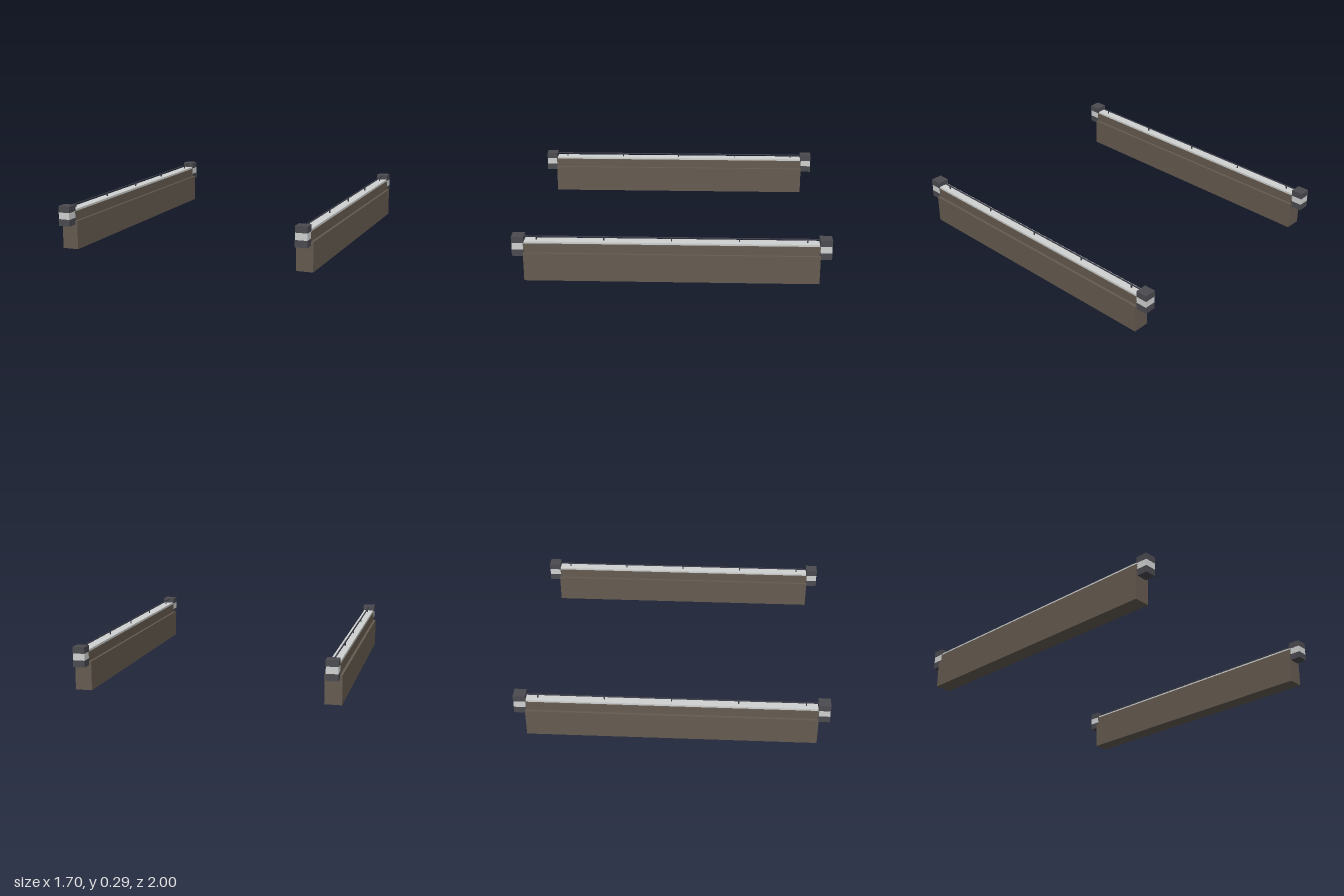
import * as THREE from 'three';

const mat = (name, color) => Object.assign(new THREE.MeshStandardMaterial({ color }), { name });

export function createModel() {
  const stone = mat('brown stone', 0x655b50);
  const dark = mat('dark metal', 0x4a4a50);
  const light = mat('light grey', 0xd0d2d2);
  const wire = mat('rail metal', 0x3e3e4a);

  const box = (parent, name, w, h, d, y0, z, material) => {
    const mesh = new THREE.Mesh(new THREE.BoxGeometry(w, h, d), material);
    mesh.name = name;
    mesh.position.set(0, y0 + h / 2, z);
    parent.add(mesh);
  };

  const model = new THREE.Group();
  model.name = 'barrierPair';

  for (const side of [-1, 1]) {
    const barrier = new THREE.Group();
    barrier.name = side > 0 ? 'leftBarrier' : 'rightBarrier';
    barrier.position.x = side * 0.795;
    model.add(barrier);

    // Wall with a narrower upper step and a pale strip on top
    box(barrier, 'wallBase', 0.108, 0.186, 1.856, 0, 0, stone);
    box(barrier, 'wallUpper', 0.076, 0.06, 1.856, 0.186, 0, stone);
    box(barrier, 'topStrip', 0.066, 0.013, 1.856, 0.246, 0, light);

    // Thin rail carried on five short posts
    box(barrier, 'rail', 0.007, 0.006, 1.856, 0.279, 0, wire);
    for (let i = -2; i <= 2; i++) box(barrier, 'railPost', 0.007, 0.022, 0.007, 0.258, i * 0.424, wire);

    // Banded blocks at both ends
    for (const end of [-1, 1]) {
      const block = new THREE.Group();
      block.name = end > 0 ? 'frontEndBlock' : 'backEndBlock';
      block.position.z = end * 0.961;
      barrier.add(block);
      box(block, 'blockFoot', 0.078, 0.044, 0.078, 0.162, 0, dark);
      box(block, 'blockBand', 0.076, 0.044, 0.076, 0.206, 0, light);
      box(block, 'blockCap', 0.078, 0.041, 0.078, 0.25, 0, dark);
    }
  }
  return model;
}
